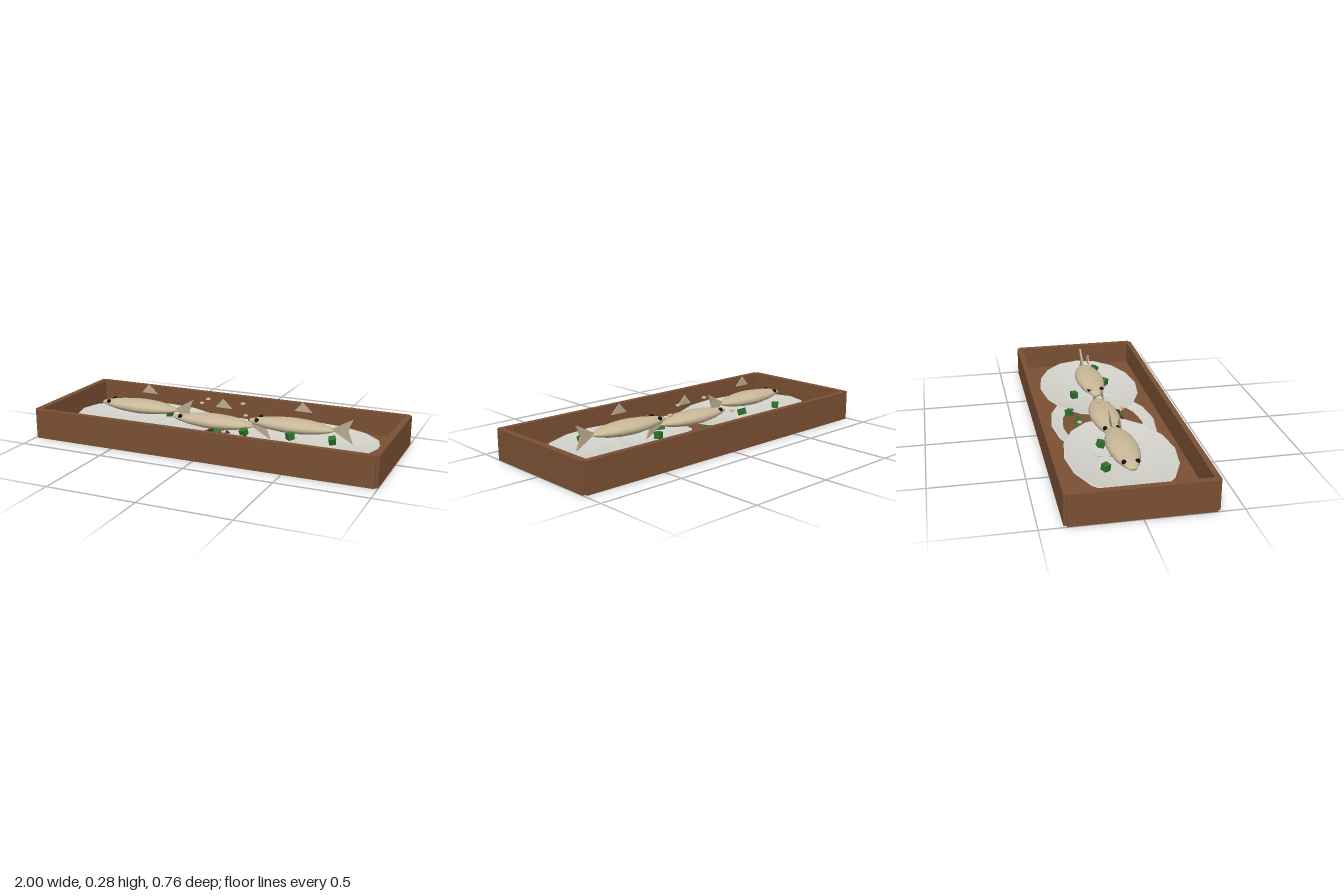
import * as THREE from 'three';

export function createModel() {
  const mat = (name, color, flatShading = false, side = THREE.FrontSide) => {
    const m = new THREE.MeshStandardMaterial({ color, flatShading, side });
    m.name = name;
    return m;
  };
  const wood = mat('wood', 0x7b5033);
  const china = mat('plate grey', 0xd2d1ca);
  const skin = mat('fish skin', 0xc9b898);
  const fin = mat('fin', 0xbcab8f);
  const black = mat('eye black', 0x14120f);
  const green = mat('herb green', 0x2f722b, true);
  const brown = mat('dark brown', 0x40301a, true);
  const crumb = mat('crumb', 0xcdb596, true);

  const model = new THREE.Group();
  const add = (parent, name, geo, material, x = 0, y = 0, z = 0) => {
    const mesh = new THREE.Mesh(geo, material);
    mesh.name = name;
    mesh.position.set(x, y, z);
    parent.add(mesh);
    return mesh;
  };

  // Tray: floor and four walls, with stepped corners
  const tray = new THREE.Group();
  tray.name = 'tray';
  model.add(tray);
  add(tray, 'floor', new THREE.BoxGeometry(1.96, 0.035, 0.72), wood, 0, 0.0175, 0);
  for (const s of [-1, 1]) {
    add(tray, 'longWall', new THREE.BoxGeometry(1.97, 0.17, 0.03), wood, 0, 0.085, s * 0.365);
    add(tray, 'endWall', new THREE.BoxGeometry(0.035, 0.17, 0.73), wood, s * 0.9825, 0.085, 0);
  }

  // Oval plate: shallow dish with a flat base and thin rim
  const plateGeo = new THREE.LatheGeometry([
    [0, 0], [0.58, 0], [0.58, 0], [1, 0.048], [1, 0.05], [0.97, 0.05], [0.97, 0.05], [0.5, 0.012], [0, 0.012],
  ].map(([r, y]) => new THREE.Vector2(r, y)), 16);
  plateGeo.scale(0.445, 1, 0.295);

  // Fish body: round profile laid along x, head towards -x, flattened in height
  const bodyGeo = new THREE.LatheGeometry([
    [0, -0.3], [0.02, -0.295], [0.043, -0.25], [0.066, -0.18], [0.081, -0.09], [0.084, -0.04],
    [0.077, 0.04], [0.06, 0.11], [0.033, 0.165], [0.012, 0.192], [0, 0.195],
  ].map(([r, y]) => new THREE.Vector2(r, y)), 14);
  bodyGeo.rotateZ(-Math.PI / 2);
  bodyGeo.scale(1, 0.46, 1);

  // Thin upright fin cut from an outline
  const finGeo = (points, depth) => {
    const shape = new THREE.Shape(points.map(([x, y]) => new THREE.Vector2(x, y)));
    const geo = new THREE.ExtrudeGeometry(shape, { depth, bevelEnabled: false });
    return geo.translate(0, 0, -depth / 2);
  };
  const tailGeo = finGeo([[0.175, 0], [0.295, -0.068], [0.268, 0], [0.295, 0.068]], 0.01);
  const dorsalGeo = finGeo([[-0.035, 0.085], [0.065, 0.085], [0.01, 0.137]], 0.006);
  const eyeGeo = new THREE.SphereGeometry(0.013, 10, 8);

  // Three plates in a row, each with a fish; the middle one sits lower
  for (const [x, lift] of [[-0.47, 0.035], [0, 0.0008], [0.47, 0.035]]) {
    add(model, 'plate', plateGeo, china, x, lift, 0);
    const fish = new THREE.Group();
    fish.name = 'fish';
    fish.position.set(x, 0.11 + lift, 0);
    model.add(fish);
    add(fish, 'body', bodyGeo, skin);
    add(fish, 'tailFin', tailGeo, fin, 0, 0.007, 0);
    add(fish, 'dorsalFin', dorsalGeo, fin);
    for (const s of [-1, 1]) add(fish, 'eye', eyeGeo, black, -0.242, 0.014, s * 0.035);
  }

  // Diced garnish scattered around the fish
  const dice = new THREE.BoxGeometry(0.036, 0.036, 0.036);
  [
    [-0.635, 0.1, -0.11], [-0.37, 0.1, -0.085], [-0.01, 0.075, -0.145], [0.115, 0.075, -0.175],
    [0.31, 0.1, -0.115], [0.155, 0.085, 0.045], [0.445, 0.115, 0.095], [0.675, 0.115, 0.075],
    [0.01, 0.07, 0.09],
  ].forEach(([x, y, z], i) => {
    add(model, 'herbCube', dice, green, x, y, z).rotation.set(0.2 * (i % 3), 0.6 + i * 1.1, 0.15);
  });
  for (const x of [-0.025, 0.065]) {
    add(model, 'darkCube', dice, brown, x, 0.07, 0.088).rotation.y = 0.4 + x * 5;
  }

  // Small flat crumbs
  const crumbGeo = new THREE.SphereGeometry(0.015, 7, 5);
  crumbGeo.scale(1, 0.5, 1);
  for (const [x, y, z] of [
    [-0.1, 0.223, -0.042], [0.11, 0.217, -0.052], [-0.2, 0.155, -0.168], [0.14, 0.16, -0.02], [0.07, 0.1, 0.13],
  ]) add(model, 'crumb', crumbGeo, crumb, x, y, z);

  return model;
}
